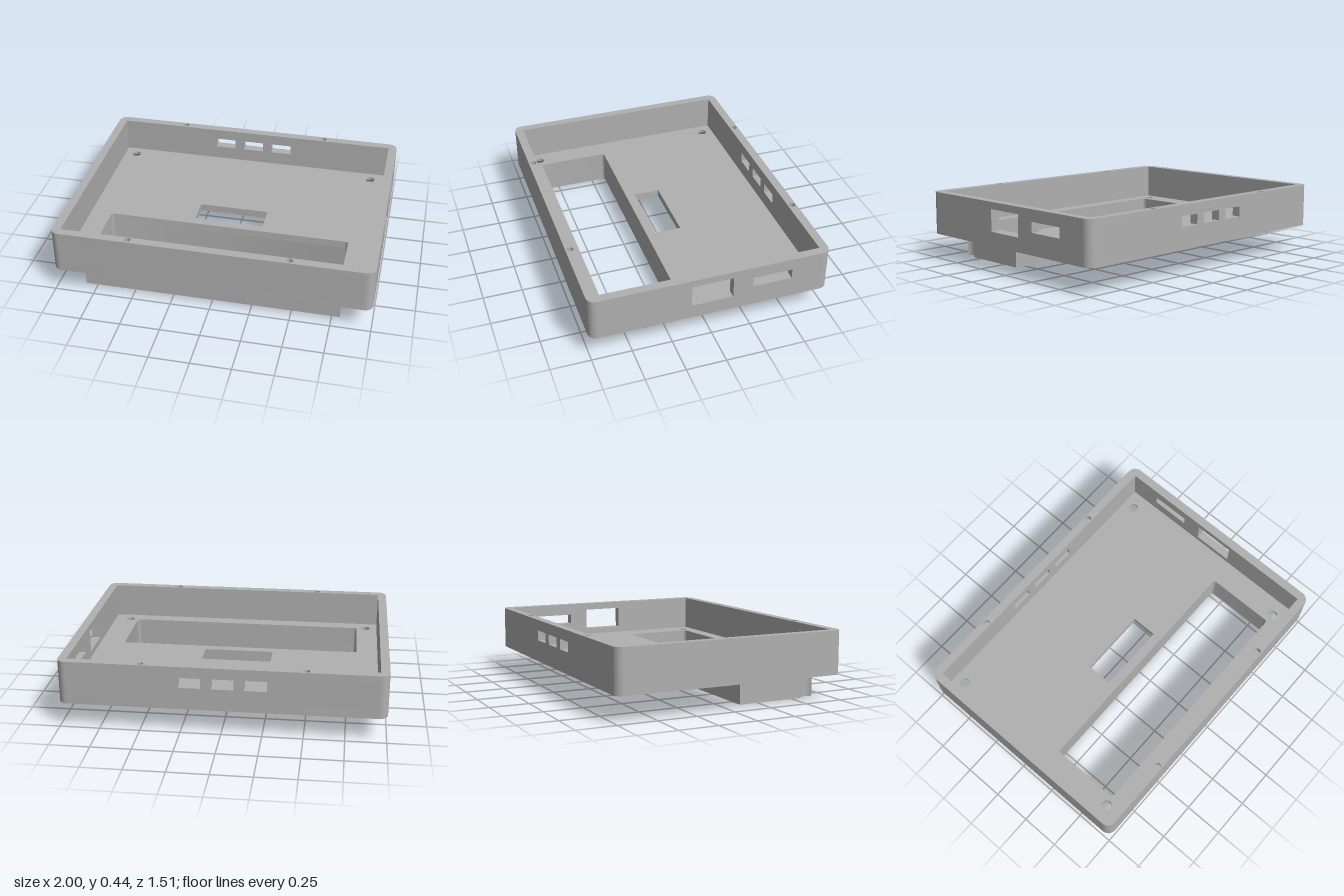
import * as THREE from 'three';
import { toCreasedNormals } from 'three/addons/utils/BufferGeometryUtils.js';

const W = 1, D = 0.755, T = 0.055;            // outer half sizes and wall thickness
const BASE = 0.16, FLOOR = 0.21, RIM = 0.395, TOP = 0.435;
const CX = -0.0125;                           // the opening and screws sit slightly off centre
const SCREW_X = 0.8525, SCREW_R = 0.03, HEAD_R = 0.055;

function roundRect(target, x0, y0, x1, y1, r) {
  target.moveTo(x0 + r, y0);
  target.lineTo(x1 - r, y0);
  target.absarc(x1 - r, y0 + r, r, -Math.PI / 2, 0);
  target.lineTo(x1, y1 - r);
  target.absarc(x1 - r, y1 - r, r, 0, Math.PI / 2);
  target.lineTo(x0 + r, y1);
  target.absarc(x0 + r, y1 - r, r, Math.PI / 2, Math.PI);
  target.lineTo(x0, y0 + r);
  target.absarc(x0 + r, y0 + r, r, Math.PI, Math.PI * 1.5);
  return target;
}

function rect(target, x0, y0, x1, y1) {
  target.moveTo(x0, y0);
  target.lineTo(x1, y0);
  target.lineTo(x1, y1);
  target.lineTo(x0, y1);
  target.closePath();
  return target;
}

const circle = (x, y, r) => new THREE.Path().absarc(x, y, r, 0, Math.PI * 2);

function extrude(shape, depth) {
  return new THREE.ExtrudeGeometry(shape, { depth, bevelEnabled: false, curveSegments: 16 });
}

// Horizontal slab from a plan drawn in x and z
function slab(shape, y0, y1) {
  const g = extrude(shape, y1 - y0).rotateX(Math.PI / 2).translate(0, y1, 0);
  return toCreasedNormals(g, 0.6);
}

// Upright panel with rectangular windows, each [u0, y0, u1, y1]
function panel(halfWidth, windows) {
  const s = rect(new THREE.Shape(), -halfWidth, FLOOR, halfWidth, RIM);
  for (const w of windows) s.holes.push(rect(new THREE.Path(), ...w));
  return extrude(s, T);
}

// Collar plan, with the front corners cut by a circle round each screw
function collarShape(r) {
  const hw = 0.8325, zb = 0.125, zf = 0.655, zs = 0.615;
  const side = SCREW_X - hw, front = zf - zs;
  const dz = Math.sqrt(r * r - side * side);
  const cutsCorner = r > Math.hypot(side, front);
  const start = Math.atan2(-dz, -side);
  const end = cutsCorner ? Math.atan2(front, -Math.sqrt(r * r - front * front)) : Math.atan2(dz, -side);
  const s = new THREE.Shape();
  s.moveTo(-hw, zb);
  s.lineTo(hw, zb);
  s.absarc(SCREW_X, zs, r, start, end, true);
  if (!cutsCorner) {
    s.lineTo(hw, zf);
    s.lineTo(-hw, zf);
  }
  s.absarc(-SCREW_X, zs, r, Math.PI - end, Math.PI - start, true);
  s.closePath();
  s.holes.push(roundRect(new THREE.Path(), -0.7925, 0.155, 0.7925, 0.61, 0.02));
  return s;
}

export function createModel() {
  const group = new THREE.Group();
  const grey = new THREE.MeshStandardMaterial({ color: 0xb0b0b0 });
  grey.name = 'grey plastic';
  const greyOpen = grey;
  greyOpen.side = THREE.DoubleSide;
  const add = (name, geometry, x = 0, y = 0, z = 0) => {
    const mesh = new THREE.Mesh(geometry, grey);
    mesh.name = name;
    mesh.position.set(x, y, z);
    group.add(mesh);
    return mesh;
  };

  const screws = [];
  for (const sx of [-1, 1]) for (const z of [-0.625, 0.615]) screws.push([CX + sx * SCREW_X, z]);

  // Floor in two layers: wide screw holes below, narrow ones above
  const mid = 0.19;
  for (const [name, r, y0, y1] of [['floorLower', HEAD_R, BASE, mid], ['floorUpper', SCREW_R, mid, FLOOR]]) {
    const s = roundRect(new THREE.Shape(), -W, -D, W, D, T);
    s.holes.push(roundRect(new THREE.Path(), CX - 0.7925, 0.155, CX + 0.7925, 0.61, 0.02));
    s.holes.push(rect(new THREE.Path(), -0.245, -0.075, 0.21, 0.095));
    for (const [x, z] of screws) s.holes.push(circle(x, z, r));
    add(name, slab(s, y0, y1));
  }

  // Conical screw seats
  for (const [x, z] of screws) {
    const cone = new THREE.CylinderGeometry(SCREW_R, HEAD_R, mid - BASE, 32, 1, true);
    add('screwSeat', cone, x, (BASE + mid) / 2, z);
  }

  // Walls: port windows on the right, three slots at the back
  const iw = W - T, id = D - T;
  add('frontWall', panel(iw, []), 0, 0, id);
  add('backWall', panel(iw, [-0.28, -0.08, 0.12].map(x => [x, 0.3, x + 0.138, 0.365])), 0, 0, -D);
  add('plainSideWall', panel(id, []).rotateY(Math.PI / 2), -W, 0, 0);
  add('portSideWall', panel(id, [[-0.13, 0.25, 0.13, 0.39], [0.255, 0.295, 0.505, 0.36]])
    .rotateY(Math.PI / 2), iw, 0, 0);

  // Rounded wall corners
  for (const sx of [-1, 1]) for (const sz of [-1, 1]) {
    const a = Math.atan2(sz, sx) - Math.PI / 4;
    const s = new THREE.Shape();
    s.moveTo(sx * iw, sz * id);
    s.absarc(sx * iw, sz * id, T, a, a + Math.PI / 2);
    s.closePath();
    add('wallCorner', slab(s, FLOOR, RIM));
  }

  // Top rim with four blind fixing holes
  const rim = roundRect(new THREE.Shape(), -W, -D, W, D, T);
  rim.holes.push(rect(new THREE.Path(), -iw, -id, iw, id));
  for (const x of [-0.51, 0.487]) for (const z of [-0.728, 0.725]) rim.holes.push(circle(x, z, 0.02));
  add('rim', slab(rim, RIM, TOP));

  // Collar below the large opening, notched for the screw heads
  add('collar', slab(collarShape(HEAD_R), 0, 0.14), CX);
  add('collarTop', slab(collarShape(SCREW_R), 0.14, BASE), CX);

  return group;
}
